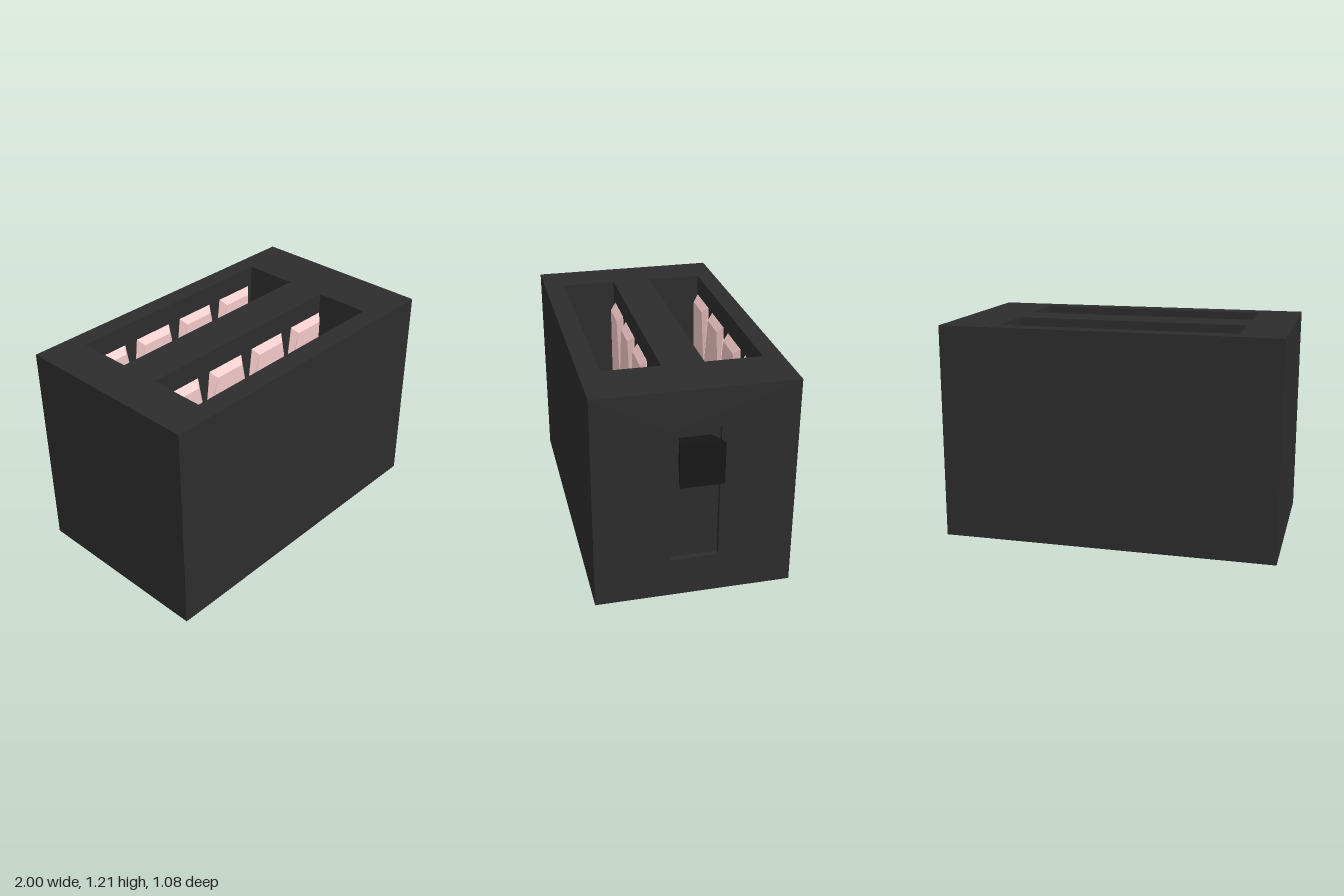
import * as THREE from 'three';
import { mergeGeometries } from 'three/addons/utils/BufferGeometryUtils.js';

const X0 = -1, X1 = 0.88, H = 1.21, Z = 0.54;
const FLOOR = 0.16; // slot floor height

const mat = (color) => new THREE.MeshStandardMaterial({ color, flatShading: true });

// Counter-clockwise rectangle as a list of points
const rect = (x0, y0, x1, y1) =>
  [[x0, y0], [x1, y0], [x1, y1], [x0, y1]].map(([x, y]) => new THREE.Vector2(x, y));

// Flat panel facing +z at height w, with optional openings
function panel(outline, w, holes = []) {
  const shape = new THREE.Shape(outline);
  holes.forEach((h) => shape.holes.push(new THREE.Path(h)));
  return new THREE.ShapeGeometry(shape).translate(0, 0, w).toNonIndexed();
}

// Walls joining loop a (height wa) to loop b (height wb); they face the inside
function walls(a, wa, b, wb) {
  const pos = [];
  a.forEach((p, i) => {
    const j = (i + 1) % a.length;
    const q = [[p, wa], [a[j], wa], [b[j], wb], [b[i], wb]];
    [0, 1, 2, 0, 2, 3].forEach((k) => pos.push(q[k][0].x, q[k][0].y, q[k][1]));
  });
  const g = new THREE.BufferGeometry();
  g.setAttribute('position', new THREE.Float32BufferAttribute(pos, 3));
  g.setAttribute('uv', new THREE.Float32BufferAttribute(new Float32Array(pos.length / 3 * 2), 2));
  g.computeVertexNormals();
  return g;
}

// Panel with recessed pockets: each has a mouth loop, a floor loop and a floor height
function pocketPanel(outline, w, pockets) {
  const parts = [panel(outline, w, pockets.map((p) => p.mouth))];
  pockets.forEach((p) => {
    parts.push(walls(p.mouth, w, p.base, p.floor), panel(p.base, p.floor));
  });
  return mergeGeometries(parts);
}

// Zigzag heating plate with chamfered edges, half sunk in the slot wall
function elementGeometry() {
  const pitch = 0.335, width = 0.19, count = 4, top = 1.055, bottom = 0.3;
  const upper = [], lower = [];
  for (let i = 0; i < count; i++) {
    const x = -0.7 + i * pitch;
    upper.push([x, top], [x + width, top]);
    lower.push([x + 0.02, bottom], [x + width / 2, 0.65], [x + width - 0.02, bottom]);
    if (i < count - 1) upper.push([x + (width + pitch) / 2, 0.7]);
  }
  const pts = [...lower, ...upper.reverse()].map(([x, y]) => new THREE.Vector2(x, y));
  return new THREE.ExtrudeGeometry(new THREE.Shape(pts), {
    depth: 0.002, bevelEnabled: true, bevelThickness: 0.034, bevelSize: 0.035, bevelSegments: 1,
  });
}

export function createModel() {
  const model = new THREE.Group();
  const add = (name, geometry, material) => {
    const m = new THREE.Mesh(geometry, material);
    m.name = name;
    model.add(m);
    return m;
  };
  const bodyMat = mat(0x2d2d2d), leverMat = mat(0x171717), pinkMat = mat(0xf4c8c8);

  // Body: top with two bread slots whose +x end leans inward
  const slots = [[-0.435, -0.12], [0.11, 0.425]];
  const slotPockets = slots.map(([za, zb]) => ({
    mouth: rect(-0.755, -zb, 0.565, -za),
    base: rect(-0.755, -zb, 0.525, -za),
    floor: FLOOR,
  }));
  const top = pocketPanel(rect(X0, -Z, X1, Z), H, slotPockets).rotateX(-Math.PI / 2);

  // Lever side with its shallow recess
  const track = rect(-0.13, 0.225, 0.13, 0.99);
  const side = pocketPanel(rect(-Z, 0, Z, H), X1, [{ mouth: track, base: track, floor: X1 - 0.03 }])
    .rotateY(Math.PI / 2);

  // Plain faces
  const front = panel(rect(X0, 0, X1, H), Z);
  const back = panel(rect(-X1, 0, -X0, H), Z).rotateY(Math.PI);
  const left = panel(rect(-Z, 0, Z, H), -X0).rotateY(-Math.PI / 2);
  const base = panel(rect(X0, -Z, X1, Z), 0).rotateX(Math.PI / 2);
  add('body', mergeGeometries([top, side, front, back, left, base]), bodyMat);

  // Heating elements on both long walls of each slot
  const element = elementGeometry();
  slots.forEach((walls, s) => walls.forEach((z, k) => {
    const m = add('heatingElement', element, pinkMat);
    m.position.set(s === 1 && k === 0 ? 0.03 : 0, 0, z);
  }));

  // Lever: block flaring outward from the recess
  const lever = new THREE.BoxGeometry(0.15, 0.235, 0.235);
  const p = lever.attributes.position;
  for (let i = 0; i < p.count; i++) {
    if (p.getX(i) < 0) p.setXYZ(i, p.getX(i), p.getY(i) * 0.72, p.getZ(i) * 0.72);
  }
  lever.computeVertexNormals();
  add('lever', lever, leverMat).position.set(0.925, 0.853, 0);

  return model;
}
